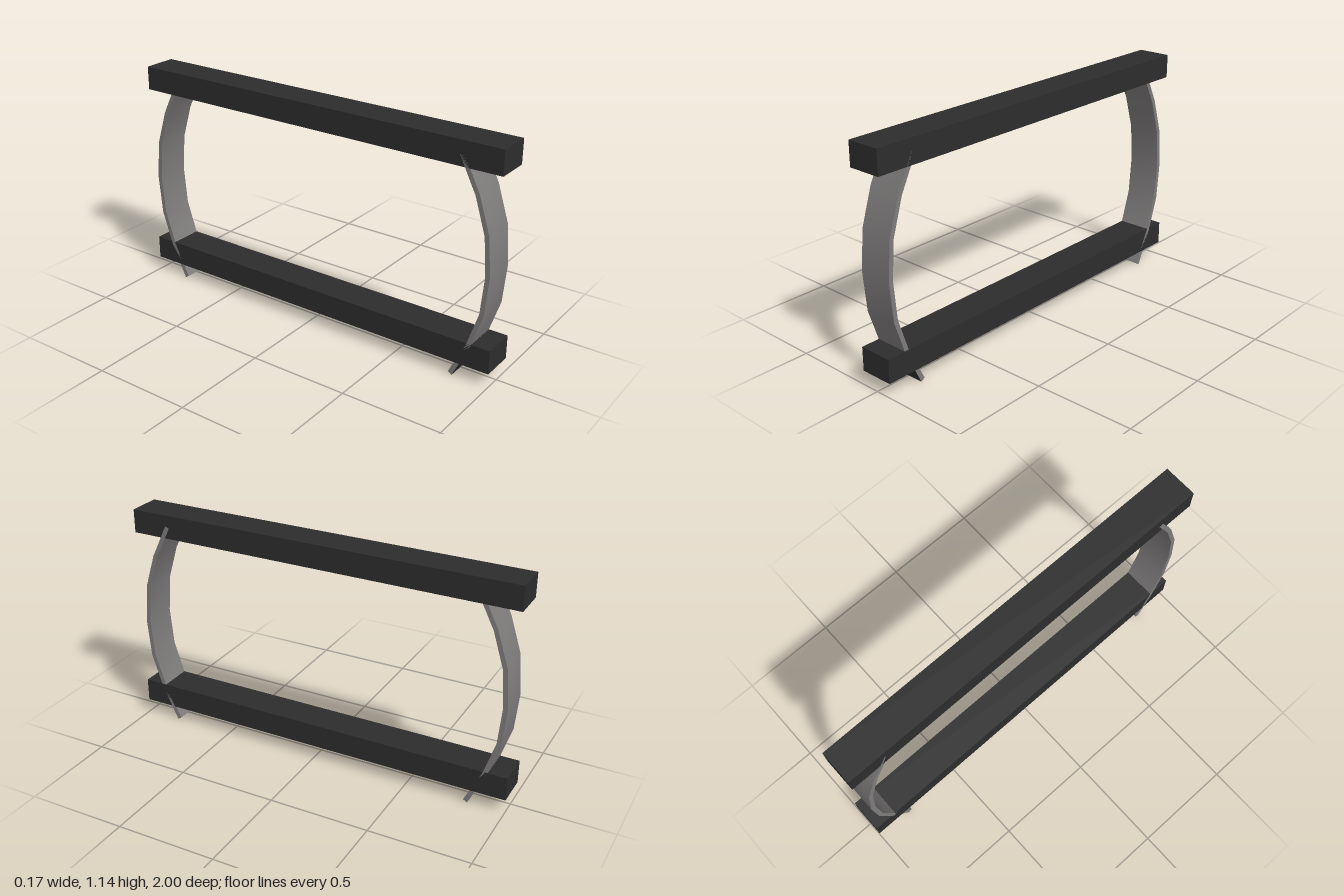
import * as THREE from 'three';
import { mergeGeometries } from 'three/addons/utils/BufferGeometryUtils.js';

const WIDTH = 0.17;

// Strip of quads between two lines of points; smooth along its length
function strip(a, b) {
  const pos = [], index = [];
  a.forEach((p, i) => {
    pos.push(...p, ...b[i]);
    if (i) {
      const k = 2 * i;
      index.push(k - 2, k, k - 1, k - 1, k, k + 1);
    }
  });
  const g = new THREE.BufferGeometry();
  g.setAttribute('position', new THREE.Float32BufferAttribute(pos, 3));
  g.setIndex(index);
  g.computeVertexNormals();
  return g;
}

export function createModel() {
  const model = new THREE.Group();
  const dark = new THREE.MeshStandardMaterial({ color: 0x2d2d2d });
  dark.name = 'charcoal';
  const grey = new THREE.MeshStandardMaterial({ color: 0x7f7c7c });
  grey.name = 'warm grey';

  const add = (parent, geometry, material, name) => {
    const mesh = new THREE.Mesh(geometry, material);
    mesh.name = name;
    parent.add(mesh);
    return mesh;
  };

  // Long upper and lower beams
  for (const [name, y] of [['upperBeam', 1.081], ['lowerBeam', 0.131]]) {
    add(model, new THREE.BoxGeometry(WIDTH, 0.119, 2), dark, name).position.y = y;
  }

  // Bowed strap profile as [z, y], from top to foot
  const outer = [[0.815, 1.085], [0.9, 0.915], [0.957, 0.738], [0.974, 0.545],
    [0.957, 0.35], [0.9, 0.175], [0.817, 0]];
  const inner = [[0.795, 1.075], [0.88, 0.907], [0.935, 0.732], [0.951, 0.545],
    [0.935, 0.356], [0.88, 0.184], [0.797, 0.013]];
  const at = (line, side) => line.map(([z, y]) => [side * WIDTH / 2, y, z]);
  const oL = at(outer, 1), oR = at(outer, -1), iL = at(inner, 1), iR = at(inner, -1);

  // Grey strap: outside, inside, both edges and the foot end
  const strapGeometry = mergeGeometries([
    strip(oR.slice(0, 6), oL.slice(0, 6)),
    strip(iL, iR),
    strip(oL, iL),
    strip(iR, oR),
    strip([oR[6], iR[6]], [oL[6], iL[6]]),
  ]);
  // Dark outer face of the foot below the lower beam
  const footGeometry = strip(oR.slice(5), oL.slice(5));

  for (const [name, turn] of [['frontStrap', 0], ['backStrap', Math.PI]]) {
    const strap = new THREE.Group();
    strap.name = name;
    strap.rotation.y = turn;
    add(strap, strapGeometry, grey, name + 'Band');
    add(strap, footGeometry, dark, name + 'FootFace');
    model.add(strap);
  }
  return model;
}
